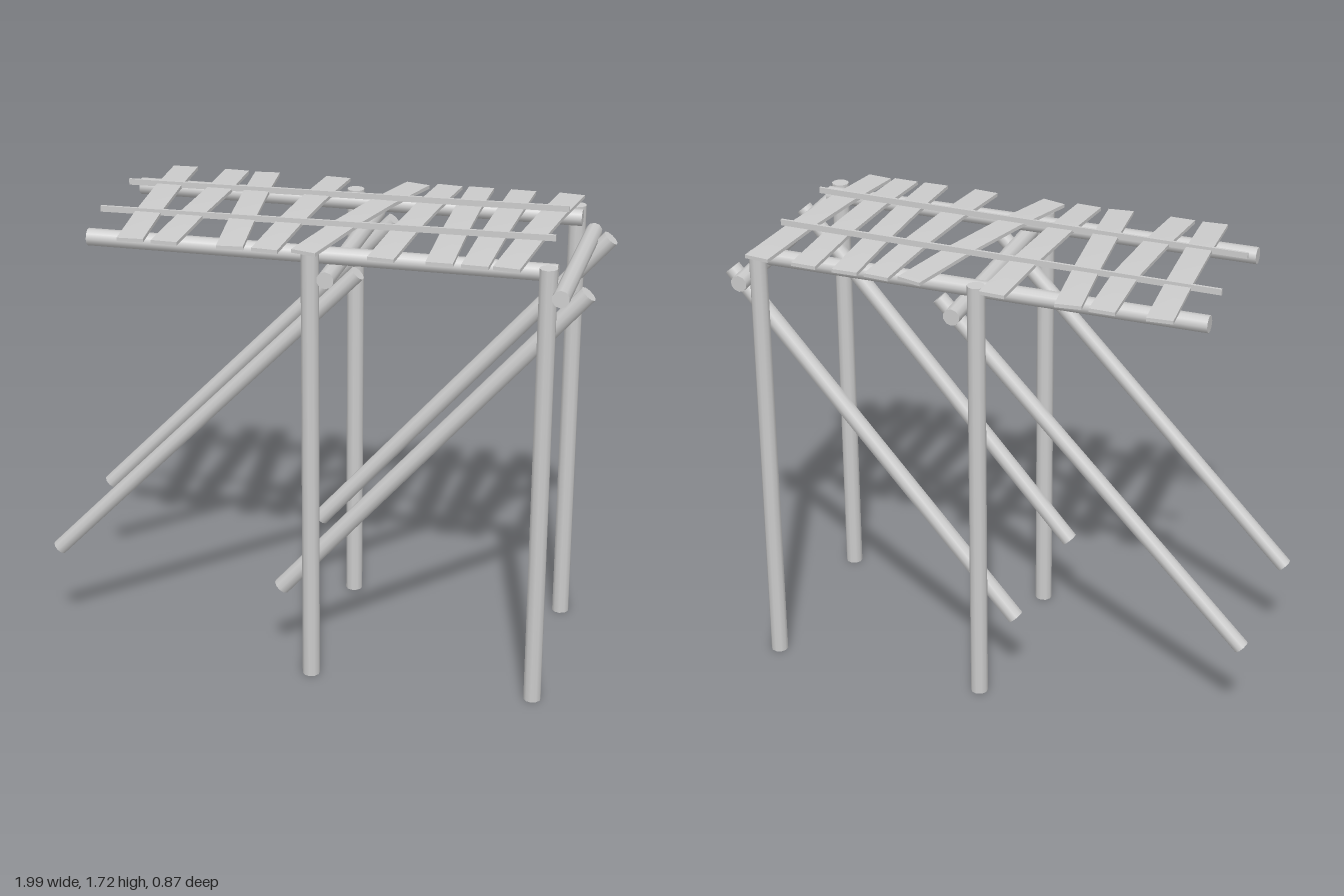
import * as THREE from 'three';

const grey = new THREE.MeshStandardMaterial({ color: 0xcccccc });

// Round log running between two points
function log(name, a, b, radius) {
  const start = new THREE.Vector3(...a);
  const dir = new THREE.Vector3(...b).sub(start);
  const mesh = new THREE.Mesh(new THREE.CylinderGeometry(radius, radius, dir.length(), 10), grey);
  mesh.position.copy(start).addScaledVector(dir, 0.5);
  mesh.quaternion.setFromUnitVectors(new THREE.Vector3(0, 1, 0), dir.normalize());
  mesh.name = name;
  return mesh;
}

// Thin deck board from back (x0) to front (x1), arched a little and optionally bowed sideways
function plank(x0, x1, bow) {
  const dx = x1 - x0;
  const span = 0.865;
  const geo = new THREE.BoxGeometry(0.094, 0.013, Math.hypot(dx, dx ? Math.sqrt(span * span - dx * dx * 0.6) : span), 1, 1, 3);
  const p = geo.attributes.position;
  for (let i = 0; i < p.count; i++) {
    if (Math.abs(p.getZ(i)) < 0.3) {
      p.setY(i, p.getY(i) + 0.012);
      p.setX(i, p.getX(i) + bow * (p.getZ(i) < 0 ? 1 : 0.6));
    }
  }
  geo.computeVertexNormals();
  const mesh = new THREE.Mesh(geo, grey);
  mesh.rotation.y = Math.atan2(dx, span);
  mesh.position.set((x0 + x1) / 2, 1.671, 0);
  mesh.name = 'deckPlank';
  return mesh;
}

export function createModel() {
  const model = new THREE.Group();
  model.name = 'logPlatform';

  // Posts, deck rails and slanted braces, mirrored front and back
  for (const s of [1, -1]) {
    for (const x of [0.01, 0.84]) model.add(log('post', [x, 0, s * 0.356], [x, 1.662, s * 0.356], 0.032));
    model.add(log('deckRail', [-0.81, 1.628, s * 0.308], [0.865, 1.63, s * 0.308], 0.031));
    model.add(log('brace', [-0.978, 0.38, s * 0.303], [0.168, 1.57, s * 0.303], 0.029));
    model.add(log('brace', [-0.115, 0.318, s * 0.303], [0.972, 1.562, s * 0.303], 0.032));
  }

  // Crossbars tying the posts, dropping slightly towards the back
  model.add(log('crossbar', [0.075, 1.57, 0.405], [0.08, 1.555, -0.415], 0.031));
  model.add(log('crossbar', [0.892, 1.575, 0.415], [0.897, 1.55, -0.405], 0.031));

  // Uneven deck planks: back x, front x, sideways bow
  const planks = [
    [-0.672, -0.615, 0], [-0.47, -0.492, 0.016], [-0.35, -0.256, 0],
    [-0.075, -0.132, 0], [0.235, 0, 0], [0.352, 0.275, 0],
    [0.47, 0.478, -0.002], [0.627, 0.6, 0.003], [0.808, 0.707, 0],
  ];
  for (const [x0, x1, bow] of planks) model.add(plank(x0, x1, bow));

  // Two narrow battens laid along the deck, rising towards +x
  for (const z of [-0.168, 0.163]) {
    const batten = new THREE.Mesh(new THREE.BoxGeometry(1.645, 0.022, 0.01), grey);
    batten.position.set(0.012, 1.696, z);
    batten.rotation.z = 0.011;
    batten.name = 'batten';
    model.add(batten);
  }
  return model;
}
